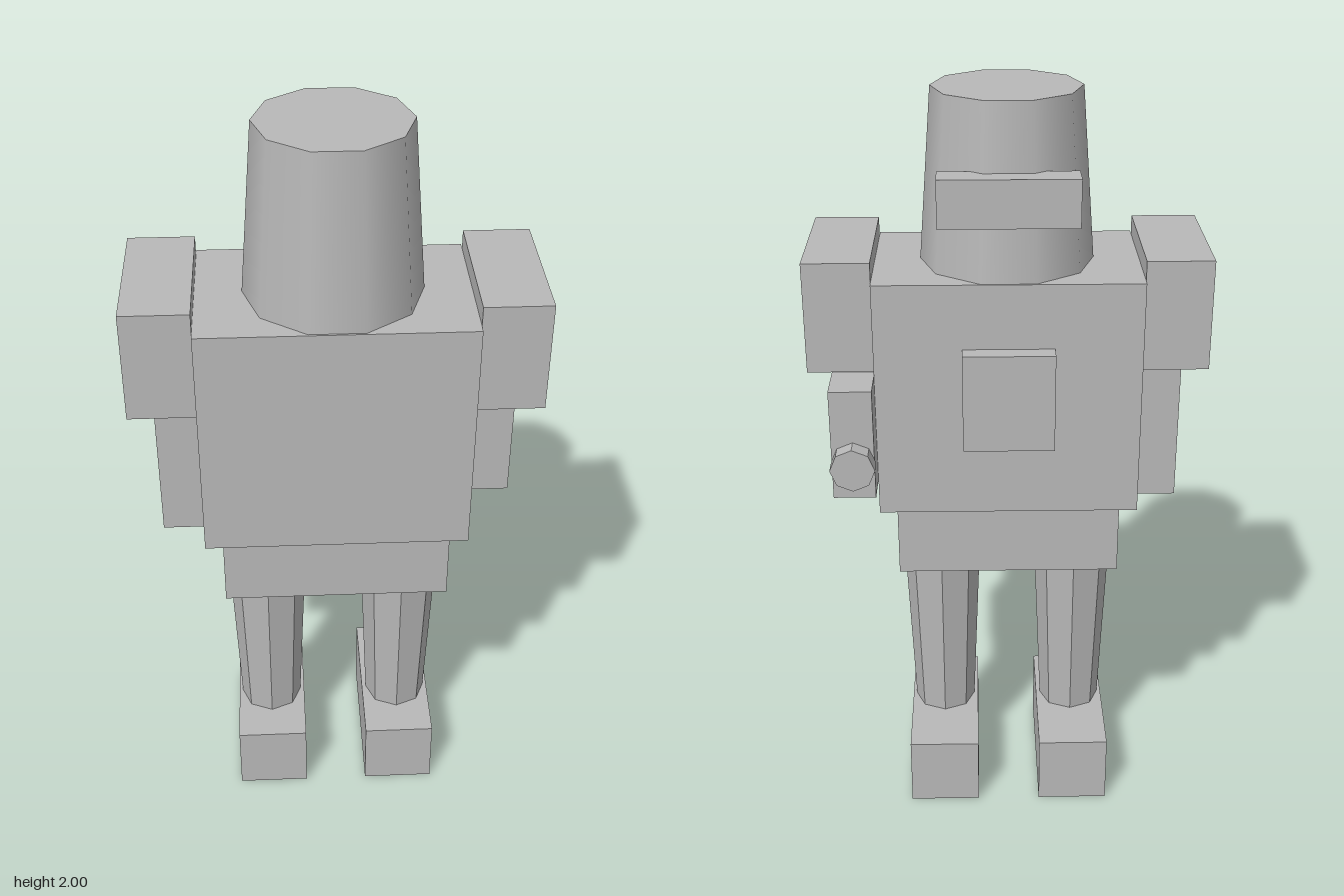
import * as THREE from 'three';

export function createModel() {
  const root = new THREE.Group();
  root.name = 'robot';
  const gray = new THREE.MeshStandardMaterial({ color: 0xb8b8b8 });
  gray.name = 'gray';
  const facetedGray = gray.clone();
  facetedGray.name = 'facetedGray';
  facetedGray.flatShading = true;

  const add = (name, geometry, material = gray) => {
    const mesh = new THREE.Mesh(geometry, material);
    mesh.name = name;
    root.add(mesh);
    return mesh;
  };
  // Box given by its extents along each axis
  const box = (name, [x0, x1], [y0, y1], [z0, z1]) =>
    add(name, new THREE.BoxGeometry(x1 - x0, y1 - y0, z1 - z0))
      .position.set((x0 + x1) / 2, (y0 + y1) / 2, (z0 + z1) / 2);

  // Body
  box('torso', [-0.34, 0.34], [0.93, 1.56], [-0.147, 0.288]);
  box('pelvis', [-0.295, 0.295], [0.735, 0.93], [-0.125, 0.264]);
  box('backPlate', [-0.117, 0.117], [1.13, 1.39], [-0.195, -0.147]);

  // Smooth tapered ten-sided head with a bar across its back
  add('head', new THREE.CylinderGeometry(0.19, 0.224, 0.445, 10, 1, false, Math.PI / 2))
    .position.set(0, 1.7775, 0.07);
  box('headBar', [-0.173, 0.173], [1.71, 1.83], [-0.177, -0.1]);

  // Shoulders, legs and feet on both sides
  for (const [side, s] of [['left', 1], ['right', -1]]) {
    const span = (a, b) => (s > 0 ? [a, b] : [-b, -a]);
    box(side + 'Shoulder', span(0.34, 0.51), [1.323, 1.61], [-0.125, 0.264]);
    box(side + 'Foot', span(0.087, 0.28), [0, 0.195], [-0.183, 0.255]);
    add(side + 'Leg', new THREE.CylinderGeometry(0.108, 0.086, 0.545, 8), facetedGray)
      .position.set(0.184 * s, 0.4675, 0.07);
  }

  // Right arm hangs down, left forearm reaches backward and ends in a stub
  box('rightArm', [-0.45, -0.34], [0.93, 1.323], [-0.055, 0.197]);
  box('leftForearm', [0.34, 0.448], [1.027, 1.32], [-0.245, 0.197]);
  const stub = add('leftStub', new THREE.CylinderGeometry(0.057, 0.057, 0.045, 8), facetedGray);
  stub.rotation.x = Math.PI / 2;
  stub.position.set(0.393, 1.125, -0.2675);

  return root;
}
